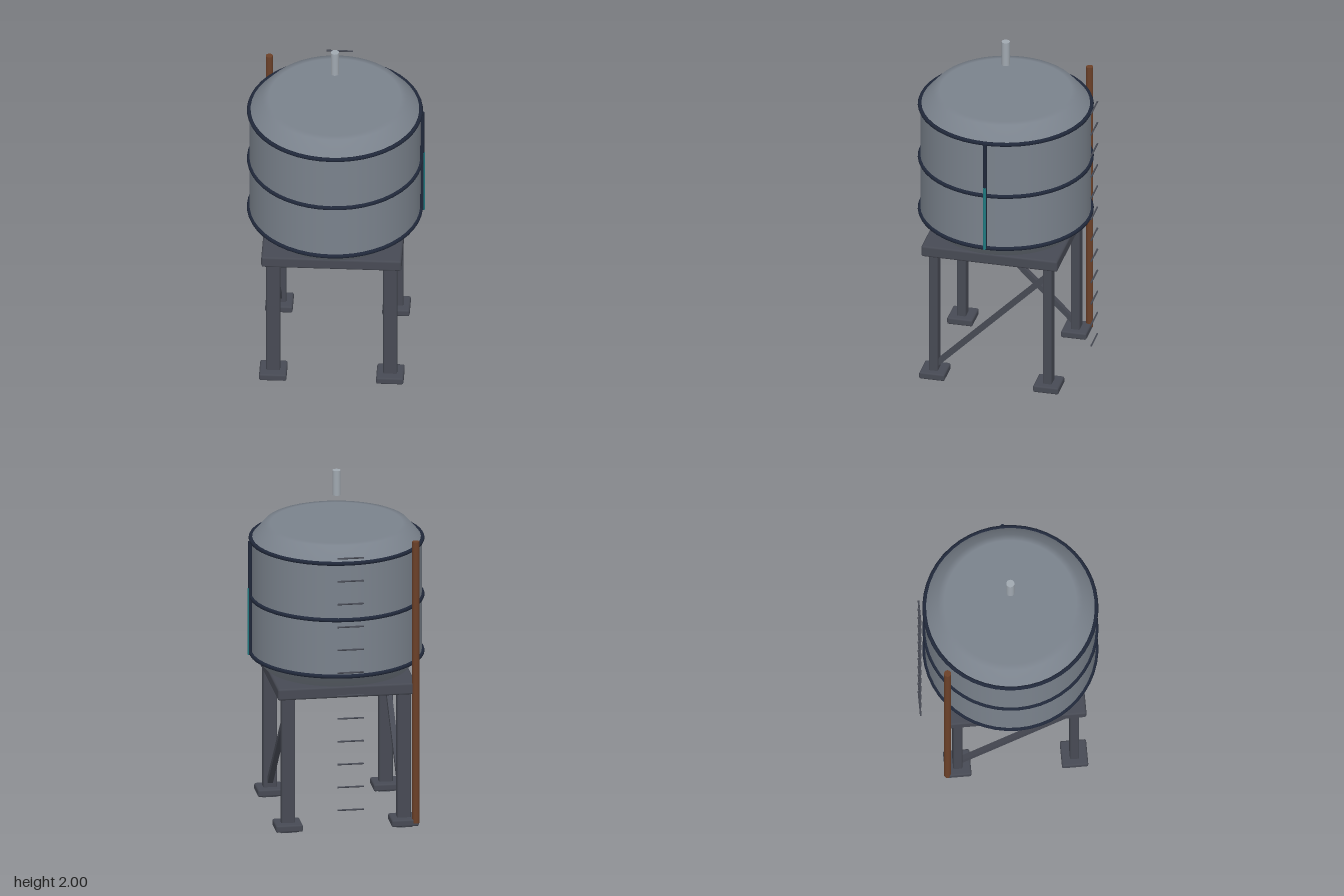
import * as THREE from 'three';
import { RoundedBoxGeometry } from 'three/addons/geometries/RoundedBoxGeometry.js';

const mat = (color) => new THREE.MeshStandardMaterial({ color });

export function createModel() {
  const model = new THREE.Group();
  model.name = 'waterTower';
  const CX = -0.006, CZ = 0.01; // tower axis
  const tankMat = mat(0x7a828c), steel = mat(0x474a54), bandMat = mat(0x20283a);
  const rust = mat(0x6b4028), pipeMat = mat(0xa0a8b0), teal = mat(0x1f7a80);

  const add = (name, geometry, material, x, y, z, parent = model) => {
    const mesh = new THREE.Mesh(geometry, material);
    mesh.name = name;
    mesh.position.set(x, y, z);
    parent.add(mesh);
    return mesh;
  };
  // chamfered box
  const box = (w, h, d, bevel) => new RoundedBoxGeometry(w, h, d, 1, bevel);
  // vertical rod between two heights
  const rod = (name, r, y0, y1, x, z, material, sides = 16) =>
    add(name, new THREE.CylinderGeometry(r, r, y1 - y0, sides), material, x, (y0 + y1) / 2, z);
  // surface of revolution from [radius, height] pairs, listed bottom to top on the outside
  const lathe = (name, pts) =>
    add(name, new THREE.LatheGeometry(pts.map((p) => new THREE.Vector2(...p)), 48), tankMat, CX, 0, CZ);

  // Tank: underside, wall and roof
  lathe('tankBottom', [[0, 0.856], [0.37, 0.856], [0.405, 0.858], [0.478, 0.94]]);
  lathe('tankWall', [[0.478, 0.94], [0.478, 1.605]]);
  lathe('tankRoof', [[0.478, 1.605], [0.406, 1.688], [0.37, 1.69], [0, 1.69]]);

  // Hoops around the tank
  for (const y of [0.94, 1.272, 1.604]) {
    const geometry = new THREE.TorusGeometry(0.481, 0.012, 8, 48).rotateX(Math.PI / 2);
    add('tankBand', geometry, bandMat, CX, y, CZ);
  }

  // Vent floating above the roof
  rod('roofVent', 0.023, 1.855, 2, CX, CZ, pipeMat);

  // Level gauge on the left side of the tank
  rod('gaugeTube', 0.011, 0.94, 1.605, 0.484, CZ, bandMat, 12);
  rod('gaugeLevel', 0.009, 0.94, 1.33, 0.49, CZ, teal, 12);

  // Platform
  add('platform', box(0.786, 0.068, 0.786, 0.012), steel, CX, 0.819, CZ);

  // Legs with feet
  for (const sx of [-1, 1]) {
    for (const sz of [-1, 1]) {
      const leg = new THREE.Group();
      leg.name = 'leg';
      leg.position.set(CX + sx * 0.328, 0, CZ + sz * 0.328);
      model.add(leg);
      add('legPost', box(0.078, 0.76, 0.052, 0.008), steel, 0, 0.42, 0, leg);
      add('foot', box(0.154, 0.042, 0.148, 0.01), steel, 0, 0.032, 0, leg);
      add('footPad', new THREE.BoxGeometry(0.09, 0.02, 0.085), steel, 0, 0.01, 0, leg);
    }
    // One diagonal brace per side, mirrored in direction
    const brace = add('brace', new THREE.BoxGeometry(0.03, 0.03, 0.89), steel, CX + sx * 0.328, 0.4, CZ);
    brace.rotation.x = sx * Math.PI / 4;
  }

  // Ladder rungs behind the tank
  for (let i = 0; i < 12; i++) {
    const rung = new THREE.CylinderGeometry(0.005, 0.005, 0.148, 8).rotateZ(Math.PI / 2);
    add('ladderRung', rung, steel, CX, 0.165 + i * 0.1345, -0.5);
  }

  // Supply pipe at the back right corner
  rod('supplyPipe', 0.02, 0.03, 1.685, -0.394, -0.378, rust);

  return model;
}
